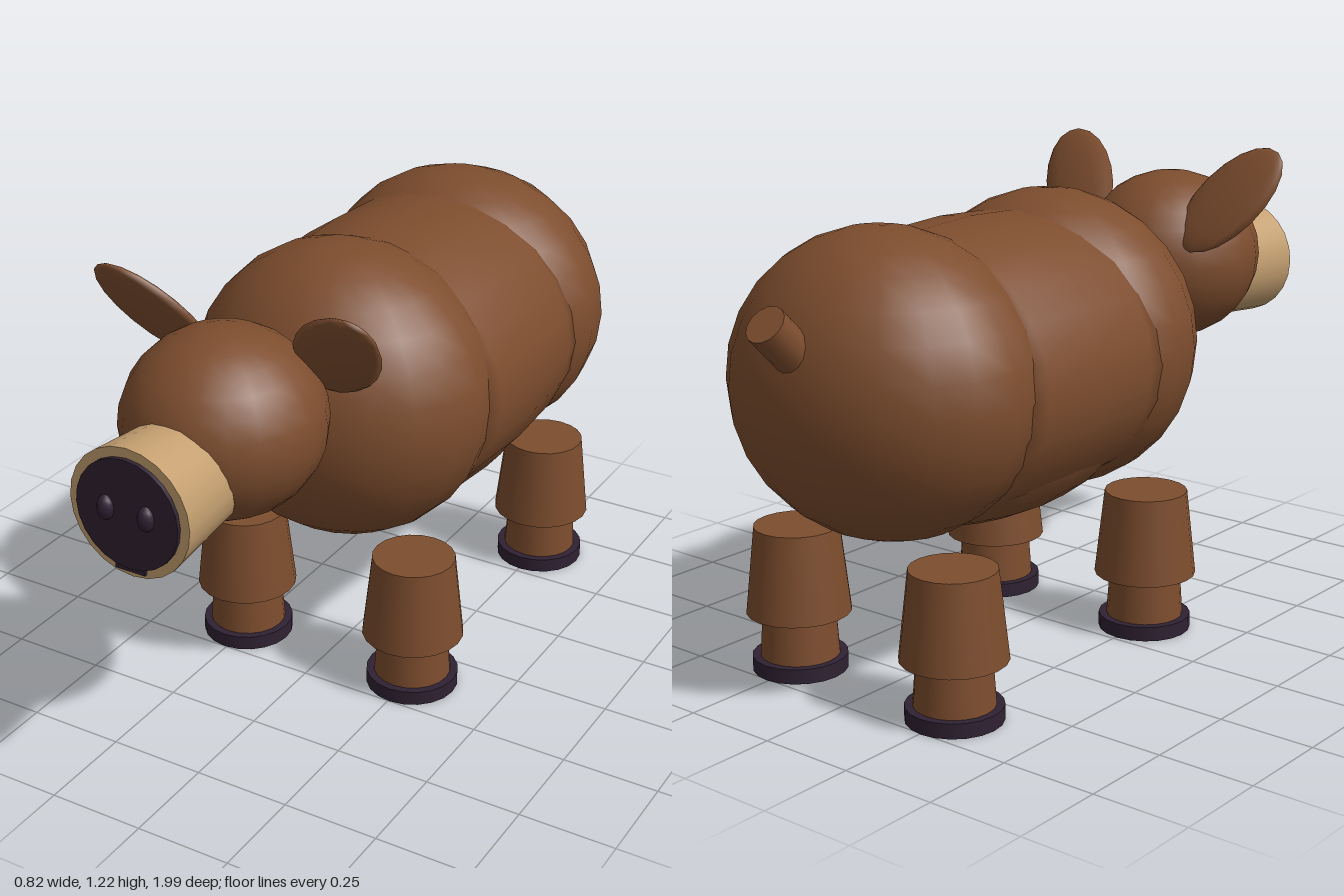
import * as THREE from 'three';

export function createModel() {
  const model = new THREE.Group();
  model.name = 'pig';

  const material = (name, color) => {
    const m = new THREE.MeshStandardMaterial({ color });
    m.name = name;
    return m;
  };
  const brown = material('brown hide', 0x7d4d2e);
  const tan = material('tan muzzle', 0xc49f70);
  const dark = material('dark horn', 0x2f2132);

  const add = (name, geometry, mat, position, parent = model) => {
    const mesh = new THREE.Mesh(geometry, mat);
    mesh.name = name;
    mesh.position.set(...position);
    parent.add(mesh);
    return mesh;
  };
  const ellipsoid = (name, mat, position, radii, w = 20, h = 14) => {
    const mesh = add(name, new THREE.SphereGeometry(1, w, h), mat, position);
    mesh.scale.set(...radii);
    return mesh;
  };

  // Body: two round ends joined by a slightly bulging barrel
  ellipsoid('chest', brown, [0, 0.763, 0.05], [0.4, 0.387, 0.342]);
  ellipsoid('rump', brown, [0, 0.765, -0.58], [0.406, 0.377, 0.342]);
  const barrelProfile = [[0, -0.29], [0.94, -0.29], [0.975, -0.2], [1, 0], [0.975, 0.2], [0.94, 0.29], [0, 0.29]]
    .map(([r, y]) => new THREE.Vector2(r, y));
  const barrelGeometry = new THREE.LatheGeometry(barrelProfile, 24).rotateX(Math.PI / 2);
  const barrel = add('barrel', barrelGeometry, brown, [0, 0.755, -0.255]);
  barrel.scale.set(0.41, 0.365, 1);
  ellipsoid('underbelly', brown, [0, 0.62, -0.25], [0.34, 0.257, 0.52]);

  // Head
  ellipsoid('head', brown, [0, 0.9, 0.588], [0.245, 0.231, 0.25]);
  add('muzzle', new THREE.CylinderGeometry(0.16, 0.138, 0.265, 24).rotateX(Math.PI / 2), tan, [0, 0.836, 0.833]);
  add('snout', new THREE.CylinderGeometry(0.136, 0.136, 0.012, 24).rotateX(Math.PI / 2), dark, [0, 0.836, 0.97]);
  add('mouth', new THREE.BoxGeometry(0.08, 0.012, 0.014), dark, [0, 0.698, 0.967]);

  for (const side of [-1, 1]) {
    ellipsoid('nostril', dark, [side * 0.054, 0.843, 0.977], [0.021, 0.031, 0.021], 12, 8);
    const ear = ellipsoid('ear', brown, [side * 0.25, 1.084, 0.5], [0.105, 0.178, 0.024], 12, 10);
    ear.rotation.set(0.56, 0, side * -0.58);

    // Legs: flared thigh, shin and hoof
    for (const z of [0.13, -0.635]) {
      const leg = new THREE.Group();
      leg.name = z > 0 ? 'frontLeg' : 'hindLeg';
      leg.position.set(side * 0.255, 0, z);
      model.add(leg);
      add('thigh', new THREE.CylinderGeometry(0.107, 0.132, 0.223, 20), brown, [0, 0.2635, 0], leg);
      add('shin', new THREE.CylinderGeometry(0.09, 0.102, 0.17, 20), brown, [0, 0.095, 0], leg);
      add('hoof', new THREE.CylinderGeometry(0.12, 0.12, 0.038, 20), dark, [0, 0.019, 0], leg);
    }
  }

  // Stub tail, tilted up and back
  const tail = add('tail', new THREE.CylinderGeometry(0.05, 0.05, 0.14, 14), brown, [0, 0.925, -0.91]);
  tail.rotation.x = -Math.PI / 4;

  return model;
}
